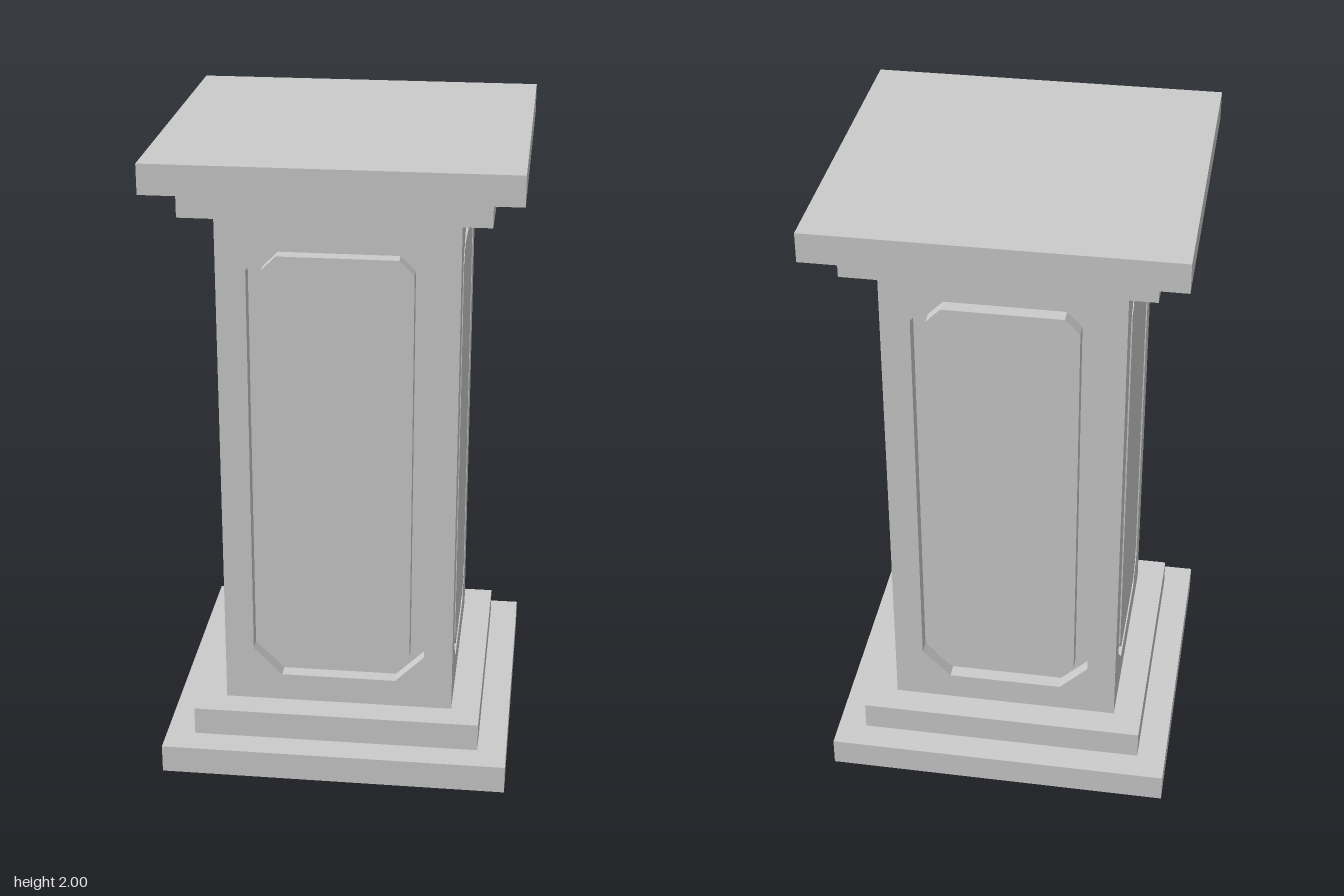
import * as THREE from 'three';

const U = 1 / 11;          // proportional unit of the pedestal
const HALF = 4 * U;        // half width of the shaft
const DEPTH = U / 2;       // depth of the groove around each panel
const SHAFT_H = 18 * U;

// Rectangle with cut corners, centred on the origin
function octagon(hx, hy, cut) {
  return [
    [-hx + cut, -hy], [hx - cut, -hy], [hx, -hy + cut], [hx, hy - cut],
    [hx - cut, hy], [-hx + cut, hy], [-hx, hy - cut], [-hx, -hy + cut],
  ].map(([x, y]) => new THREE.Vector2(x, y));
}

export function createModel() {
  const model = new THREE.Group();
  model.name = 'pedestal';
  const material = new THREE.MeshStandardMaterial({ color: 0xcccccc, flatShading: true });

  function add(name, geometry, parent = model) {
    const mesh = new THREE.Mesh(geometry, material);
    mesh.name = name;
    parent.add(mesh);
    return mesh;
  }

  // Stepped square slabs of the base and the cap
  const slab = (name, width, y) =>
    add(name, new THREE.BoxGeometry(width, U, width)).position.y = y;
  slab('baseSlab', 12 * U, 0.5 * U);
  slab('baseStep', 10 * U, 1.5 * U);
  slab('capStep', 10 * U, 20.5 * U);
  slab('capSlab', 12 * U, 21.5 * U);

  // Core of the shaft, seen as the floor of the grooves
  const coreWidth = 2 * (HALF - DEPTH);
  add('shaftCore', new THREE.BoxGeometry(coreWidth, SHAFT_H, coreWidth)).position.y = 1;

  // Face frame with an octagonal opening, mitred to meet its neighbours
  const h = SHAFT_H / 2;
  const frameShape = new THREE.Shape([
    new THREE.Vector2(-HALF, -h), new THREE.Vector2(HALF, -h),
    new THREE.Vector2(HALF, h), new THREE.Vector2(-HALF, h),
  ]);
  frameShape.holes.push(new THREE.Path(octagon(3 * U, 8 * U, U).reverse()));
  const extrude = { depth: DEPTH, bevelEnabled: false };
  const frame = new THREE.ExtrudeGeometry(frameShape, extrude);
  const p = frame.attributes.position;
  for (let i = 0; i < p.count; i++) {
    if (p.getZ(i) < DEPTH / 2 && Math.abs(p.getX(i)) > HALF - 0.001) {
      p.setX(i, Math.sign(p.getX(i)) * (HALF - DEPTH));
    }
  }
  frame.computeVertexNormals();

  // Raised panel, flush with the frame
  const panel = new THREE.ExtrudeGeometry(
    new THREE.Shape(octagon(2.5 * U, 7.5 * U, U / 2)), extrude);

  // The four sides of the shaft
  ['front', 'left', 'back', 'right'].forEach((side, i) => {
    const face = new THREE.Group();
    face.name = side + 'Face';
    face.rotation.y = i * Math.PI / 2;
    face.position.y = 1;
    add(side + 'Frame', frame, face).position.z = HALF - DEPTH;
    add(side + 'Panel', panel, face).position.z = HALF - DEPTH;
    model.add(face);
  });

  return model;
}
